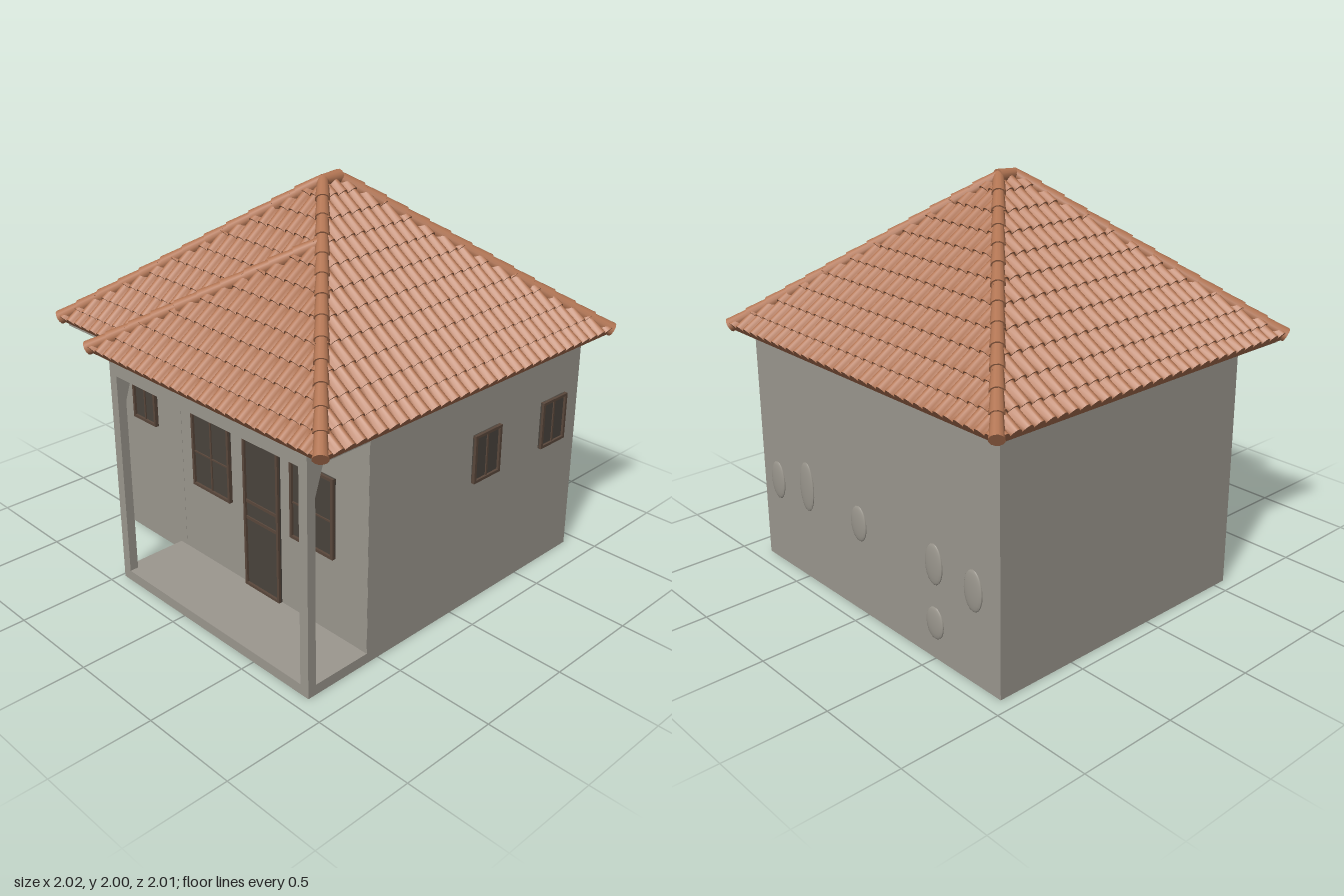
import * as THREE from 'three';

const mat = (name, color, side = THREE.FrontSide) => {
  const m = new THREE.MeshStandardMaterial({ color, side });
  m.name = name;
  return m;
};
const V = (x, y, z) => new THREE.Vector3(x, y, z);

export function createModel() {
  const plaster = mat('grey plaster', 0x9c988f);
  const clay = mat('clay tile', 0xb27553, THREE.DoubleSide);
  const pane = mat('dark shutter', 0x4a443d);
  const wood = mat('frame wood', 0x5a483c);
  const house = new THREE.Group();
  house.name = 'house';

  const add = (parent, name, geo, material) => {
    const m = new THREE.Mesh(geo, material);
    m.name = name;
    parent.add(m);
    return m;
  };
  // Box given by its minimum and maximum corners
  const box = (parent, name, material, x0, x1, y0, y1, z0, z1) => {
    const m = add(parent, name, new THREE.BoxGeometry(x1 - x0, y1 - y0, z1 - z0), material);
    m.position.set((x0 + x1) / 2, (y0 + y1) / 2, (z0 + z1) / 2);
    return m;
  };

  // Walls, porch floor and soffit
  box(house, 'mainWalls', plaster, -0.93, 0.86, 0, 1.25, -0.92, 0.57);
  box(house, 'upperPorchWall', plaster, -0.48, 0.68, 1.25, 1.45, 0.5, 0.57);
  box(house, 'porchFloor', plaster, -0.48, 0.86, 0, 0.052, 0.57, 0.93);
  box(house, 'leftSoffit', plaster, -0.95, -0.5, 1.195, 1.22, 0.55, 0.84);

  // Porch frames: panels with a large opening
  const frame = (name, w, h, hole, depth) => {
    const s = new THREE.Shape([[0, 0], [w, 0], [w, h], [0, h]].map(p => new THREE.Vector2(...p)));
    s.holes.push(new THREE.Path(hole.map(p => new THREE.Vector2(...p))));
    return add(house, name, new THREE.ExtrudeGeometry(s, { depth, bevelEnabled: false }), plaster);
  };
  frame('porchFront', 1.34, 1.2, [[0.05, 0.052], [0.05, 1.11], [1.29, 1.11], [1.29, 0.052]], 0.045)
    .position.set(-0.48, 0, 0.885);
  for (const x of [-0.48, 0.81]) {
    const side = frame('porchSide', 0.359, 1.22,
      [[0.045, 0.052], [0.045, 0.97], [0.09, 1.11], [0.358, 1.11], [0.358, 0.052]], 0.049);
    side.rotation.y = Math.PI / 2;
    side.position.set(x, 0, 0.929);
  }

  // Shallow plaster bumps on the back wall
  for (const [x, y, h] of [[0.735, 0.45, 0.1], [0.475, 0.5, 0.13], [0.05, 0.46, 0.09],
    [-0.5, 0.47, 0.1], [-0.5, 0.18, 0.08], [-0.76, 0.45, 0.1]]) {
    const b = add(house, 'plasterBump', new THREE.SphereGeometry(1, 16, 10), plaster);
    b.scale.set(0.06, h, 0.012);
    b.position.set(x, y, -0.92);
  }

  // Shuttered openings, facing +z and centred at their foot
  const opening = (name, w, h, bars) => {
    const g = new THREE.Group(), e = 0.014, d = 0.02;
    g.name = name;
    box(g, 'shutter', pane, -w / 2, w / 2, 0, h, 0, 0.008);
    for (const x of [-w / 2, w / 2 - e]) box(g, 'jamb', wood, x, x + e, 0, h, 0, d);
    for (const y of [0, h - e]) box(g, 'rail', wood, -w / 2, w / 2, y, y + e, 0, d);
    for (const [x0, x1, y0, y1] of bars) box(g, 'bar', wood, x0, x1, y0, y1, 0, 0.014);
    house.add(g);
    return g;
  };
  const mid = h => [-0.005, 0.005, 0, h];
  for (const x of [-0.19, 0.518])
    opening('frontWindow', 0.28, 0.405, [mid(0.405), [-0.14, 0.14, 0.183, 0.19]]).position.set(x, 0.455, 0.57);
  opening('smallFrontWindow', 0.185, 0.24, [mid(0.24)]).position.set(-0.715, 0.665, 0.57);
  opening('frontDoor', 0.245, 0.83, [[-0.11, 0.11, 0.37, 0.385], [-0.11, 0.11, 0.46, 0.475]])
    .position.set(0.175, 0.052, 0.57);
  for (const z of [-0.205, -0.715]) {
    const w = opening('sideWindow', 0.19, 0.245, [mid(0.245)]);
    w.rotation.y = Math.PI / 2;
    w.position.set(0.86, 0.66, z);
  }

  // Point on a polyline at a given coordinate along the chosen axis
  const at = (line, axis, s) => {
    let i = 0;
    while (i < line.length - 2 && s > line[i + 1][axis]) i++;
    const a = line[i], b = line[i + 1];
    return a.clone().lerp(b, (s - a[axis]) / (b[axis] - a[axis]));
  };

  // Ribbed, stepped tile slope between a lower and an upper line
  const tileSlope = (name, axis, low, high) => {
    const s0 = low[0][axis], s1 = low[low.length - 1][axis];
    const tiles = Math.round((s1 - s0) / 0.0625), cols = tiles * 6;
    const eave = low[1].clone().sub(low[0]);
    const n = eave.cross(high[1].clone().sub(low[0])).normalize();
    if (n.y < 0) n.negate();
    const pos = [], idx = [];
    const strip = (fa, fb) => {
      const start = pos.length / 3;
      for (let c = 0; c <= cols; c++) {
        const s = s0 + (s1 - s0) * c / cols;
        const a = at(low, axis, s), b = at(high, axis, s);
        const rib = 0.03 * Math.abs(Math.sin(Math.PI * c / 6));
        for (const [level, lift] of [fa(rib), fb(rib)]) {
          const t = b.y - a.y < 1e-6 ? 0 : THREE.MathUtils.clamp((level - a.y) / (b.y - a.y), 0, 1);
          pos.push(...a.clone().lerp(b, t).addScaledVector(n, lift).toArray());
        }
        if (c < cols) {
          const k = start + c * 2;
          idx.push(k, k + 2, k + 1, k + 1, k + 2, k + 3);
        }
      }
    };
    const step = 0.07, lip = 0.01;
    strip(() => [0, -0.022], r => [0, r]);
    for (let y = 1.2; y < 1.97; y += step) {
      strip(r => [y, r], r => [y, r + lip]);
      strip(r => [y, r + lip], r => [y + step, r]);
    }
    const g = new THREE.BufferGeometry();
    g.setAttribute('position', new THREE.Float32BufferAttribute(pos, 3));
    g.setIndex(idx);
    g.computeVertexNormals();
    add(house, name, g, clay);
  };

  // Roof corners, ridge ends and the porch junction
  const BL = V(-0.98, 1.21, -0.98), BR = V(0.98, 1.21, -0.98), FR = V(0.98, 1.21, 0.97);
  const FL = V(-0.98, 1.225, 0.86), PL = V(-0.58, 1.21, 0.97), K = V(0.28, 1.765, 0.285);
  const A = V(0.04, 1.955, 0.05), B = V(0.04, 1.955, -0.05);
  const notch = V(-0.43, 1.225, 0.86);
  tileSlope('backRoof', 'x', [BL, BR], [BL, B, BR]);
  tileSlope('rightRoof', 'z', [BR, FR], [BR, B, A, FR]);
  tileSlope('leftRoof', 'z', [BL, FL], [BL, B, A, FL]);
  tileSlope('leftFrontRoof', 'x', [FL, notch, V(0.28, 1.75, 0.285)], [FL, A, K]);
  tileSlope('porchRoof', 'x', [PL, FR], [PL, K, FR]);

  // Closing face under the raised porch edge
  const edge = new THREE.BufferGeometry().setFromPoints([PL, notch, K]);
  edge.computeVertexNormals();
  add(house, 'porchRoofEdge', edge, clay);

  // Overlapping tapered ridge tiles from the low end to the high end
  const ridge = (name, a, b) => {
    const g = new THREE.Group();
    g.name = name;
    const dir = b.clone().sub(a), len = dir.length(), n = Math.max(1, Math.round(len / 0.12));
    dir.normalize();
    for (let i = 0; i < n; i++) {
      const m = add(g, 'ridgeTile', new THREE.CylinderGeometry(0.027, 0.035, len / n * 1.12, 12), clay);
      m.position.copy(a).addScaledVector(dir, len * (i + 0.5) / n);
      m.position.y += 0.014;
      m.quaternion.setFromUnitVectors(V(0, 1, 0), dir);
    }
    house.add(g);
  };
  ridge('backLeftHip', BL, B);
  ridge('backRightHip', BR, B);
  ridge('frontRightHip', FR, A);
  ridge('frontLeftHip', FL, A);
  ridge('porchHip', PL, K);
  ridge('topRidge', B, A);
  return house;
}
